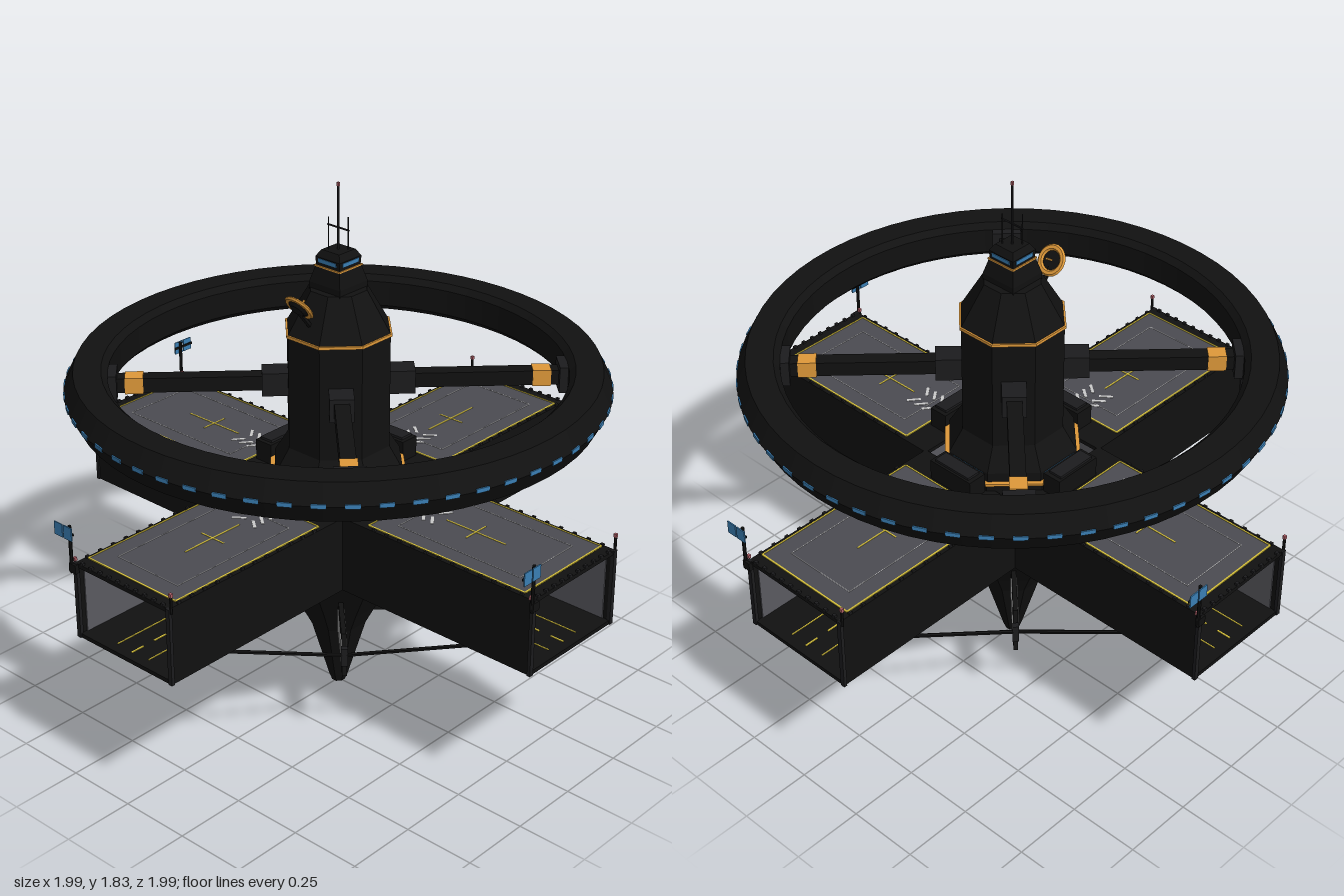
import * as THREE from 'three';

const mat = (color, extra = {}) => {
  const m = new THREE.MeshStandardMaterial({ color, ...extra });
  m.flatShading = true;
  return m;
};
const M = {
  hull: mat(0x111111), trim: mat(0x1c1c1e), deck: mat(0x4c4c52), wall: mat(0x5a5a60),
  yellow: mat(0xd8c23a), orange: mat(0xe09a3a), blue: mat(0x3a7fb5), white: mat(0xd8d8d8), red: mat(0xb06068),
};
const V = (x, y, z) => new THREE.Vector3(x, y, z);

function add(parent, name, geo, material, x = 0, y = 0, z = 0) {
  const mesh = new THREE.Mesh(geo, material);
  mesh.name = name;
  mesh.position.set(x, y, z);
  parent.add(mesh);
  return mesh;
}
const box = (p, name, m, w, h, d, x, y, z) => add(p, name, new THREE.BoxGeometry(w, h, d), m, x, y, z);

// Round bar between two points
function rod(p, name, m, a, b, r) {
  const mesh = add(p, name, new THREE.CylinderGeometry(r, r, a.distanceTo(b), 6), m);
  mesh.position.copy(a).lerp(b, 0.5);
  mesh.quaternion.setFromUnitVectors(V(0, 1, 0), b.clone().sub(a).normalize());
  return mesh;
}

// Faceted body: [distance to flat, y] from bottom to top, flats facing the axes
function facets(p, name, m, profile, sides) {
  const k = 1 / Math.cos(Math.PI / sides);
  const pts = profile.map(([r, y]) => new THREE.Vector2(r * k, y));
  return add(p, name, new THREE.LatheGeometry(pts, sides, Math.PI / sides), m);
}

// Groups turned to the four quarters
function quarters(parent, name, build, offset = 0) {
  for (let i = 0; i < 4; i++) {
    const g = new THREE.Group();
    g.name = name;
    g.rotation.y = offset + i * Math.PI / 2;
    build(g);
    parent.add(g);
  }
}

// Rectangle outline lying on a deck
function outline(p, name, m, x0, x1, hz, y, t) {
  for (const s of [-1, 1]) box(p, name, m, x1 - x0, 0.003, t, (x0 + x1) / 2, y, s * hz);
  for (const x of [x0, x1]) box(p, name, m, t, 0.003, hz * 2, x, y, 0);
}

// Hangar arm along +x with an open outer end
function buildArm(g) {
  const x0 = 0.2, x1 = 0.98, L = x1 - x0, xc = (x0 + x1) / 2;
  box(g, 'hangarRoof', M.hull, L, 0.014, 0.42, xc, 0.79, 0);
  box(g, 'hangarFloor', M.hull, L, 0.014, 0.42, xc, 0.537, 0);
  for (const s of [-1, 1]) {
    box(g, 'hangarSide', M.hull, L, 0.267, 0.008, xc, 0.6635, s * 0.206);
    box(g, 'hangarLiner', M.wall, L - 0.03, 0.24, 0.004, xc - 0.01, 0.664, s * 0.2);
    box(g, 'endFramePost', M.trim, 0.012, 0.267, 0.016, 0.978, 0.6635, s * 0.207);
    for (let i = 0; i < 12; i++) box(g, 'edgeLamp', M.trim, 0.012, 0.008, 0.008, 0.34 + i * 0.054, 0.801, s * 0.205);
    for (const z of [0.07]) box(g, 'floorLine', M.yellow, 0.55, 0.002, 0.004, 0.67, 0.545, s * z);
  }
  box(g, 'hangarBackWall', M.wall, 0.01, 0.24, 0.4, 0.24, 0.664, 0);
  for (let i = 0; i < 6; i++) box(g, 'floorDash', M.yellow, 0.05, 0.002, 0.006, 0.45 + i * 0.095, 0.545, 0);
  for (let i = 0; i < 10; i++) box(g, 'endLamp', M.trim, 0.01, 0.008, 0.012, 0.975, 0.801, -0.18 + i * 0.04);

  // Landing deck and markings
  box(g, 'landingDeck', M.deck, 0.63, 0.006, 0.39, 0.622, 0.798, 0);
  outline(g, 'deckBorder', M.yellow, 0.308, 0.937, 0.195, 0.801, 0.006);
  outline(g, 'deckInnerLine', M.white, 0.38, 0.87, 0.133, 0.8005, 0.002);
  box(g, 'deckCentreLine', M.yellow, 0.24, 0.003, 0.005, 0.59, 0.801, 0);
  box(g, 'deckCrossLine', M.yellow, 0.005, 0.003, 0.1, 0.59, 0.801, 0);
  for (let i = 0; i < 3; i++) for (const s of [-1, 1]) {
    const c = box(g, 'deckChevron', M.white, 0.048, 0.003, 0.01, 0.365 + i * 0.036, 0.801, s * 0.033);
    c.rotation.y = -s * 0.9;
  }

  // Housing between deck and tower
  box(g, 'deckHousing', M.hull, 0.07, 0.075, 0.18, 0.26, 0.832, 0);
  box(g, 'housingRoof', M.trim, 0.05, 0.012, 0.15, 0.262, 0.872, 0);

  // Solar panel mast on one corner, beacons on both
  rod(g, 'panelMast', M.hull, V(0.985, 0.76, 0.22), V(0.985, 0.925, 0.22), 0.006);
  box(g, 'mastBracket', M.hull, 0.015, 0.03, 0.03, 0.985, 0.78, 0.21);
  for (const s of [-1, 1]) box(g, 'solarPanel', M.blue, 0.004, 0.045, 0.037, 0.994, 0.902, 0.24 + s * 0.021);
  box(g, 'panelFrame', M.hull, 0.004, 0.008, 0.085, 0.99, 0.902, 0.24);
  rod(g, 'beaconPost', M.hull, V(0.975, 0.78, -0.215), V(0.975, 0.84, -0.215), 0.005);
  for (const s of [-1, 1]) box(g, 'beacon', M.red, 0.01, 0.012, 0.01, 0.975, s < 0 ? 0.845 : 0.806, s * 0.215);

  // Braces from the radiator tips to the underside
  for (const s of [-1, 1]) rod(g, 'armBrace', M.hull, V(0.295, 0.355, s * 0.295), V(0.89, 0.53, 0), 0.007);
}

// Diagonal spoke holding the ring
function buildSpoke(g) {
  box(g, 'spokeBeam', M.hull, 0.62, 0.05, 0.05, 0.46, 1.155, 0);
  box(g, 'spokeRoot', M.trim, 0.1, 0.08, 0.08, 0.2, 1.155, 0);
  box(g, 'spokeBand', M.orange, 0.06, 0.056, 0.056, 0.665, 1.155, 0);
  box(g, 'spokeMount', M.trim, 0.06, 0.09, 0.1, 0.75, 1.155, 0);
}

// Diagonal radiator fin on the keel
function buildFin(g) {
  const s = new THREE.Shape([[0.04, 0.28], [0.425, 0.28], [0.375, 0.41], [0.04, 0.41]].map(([x, y]) => new THREE.Vector2(x, y)));
  const geo = new THREE.ExtrudeGeometry(s, { depth: 0.016, bevelEnabled: false });
  add(g, 'radiatorFin', geo, M.hull, 0, 0, -0.008);
  for (let i = 0; i < 6; i++) box(g, 'radiatorSlat', M.white, 0.004, 0.085, 0.022, 0.185 + i * 0.037, 0.345, 0);
  box(g, 'finTip', M.trim, 0.022, 0.065, 0.022, 0.415, 0.35, 0);
}

export function createModel() {
  const model = new THREE.Group();
  model.name = 'station';

  // Central hull, tower and command cap
  facets(model, 'keel', M.hull, [[0, 0], [0.022, 0.002], [0.032, 0.03], [0.092, 0.25], [0.125, 0.32], [0.21, 0.48], [0.225, 0.53], [0, 0.53]], 8);
  facets(model, 'hub', M.hull, [[0, 0.53], [0.22, 0.53], [0.22, 0.815], [0, 0.815]], 8);
  facets(model, 'hubGoldBand', M.orange, [[0.215, 0.818], [0.225, 0.818], [0.225, 0.827], [0.2, 0.827]], 8);
  facets(model, 'tower', M.hull, [[0.21, 0.81], [0.21, 0.86], [0.165, 0.94], [0.165, 1.34], [0.09, 1.48], [0, 1.48]], 8);
  facets(model, 'towerGoldBand', M.orange, [[0.16, 1.332], [0.17, 1.332], [0.17, 1.342], [0.16, 1.342]], 8);
  facets(model, 'commandNeck', M.hull, [[0.066, 1.47], [0.066, 1.5], [0.05, 1.56], [0, 1.56]], 4);
  facets(model, 'capGoldBand', M.orange, [[0.05, 1.552], [0.055, 1.552], [0.055, 1.557], [0.045, 1.557]], 4);
  facets(model, 'commandCap', M.hull, [[0.05, 1.555], [0.052, 1.585], [0.038, 1.607], [0, 1.607]], 4);
  quarters(model, 'towerWindows', g => {
    box(g, 'capWindow', M.blue, 0.006, 0.014, 0.075, 0.051, 1.574, 0);
    box(g, 'hubWindow', M.blue, 0.006, 0.016, 0.14, 0.209, 0.846, 0);
  });

  // Antennas
  rod(model, 'mainMast', M.trim, V(0, 1.6, 0), V(0, 1.82, 0), 0.004);
  box(model, 'mastLamp', M.red, 0.008, 0.012, 0.008, 0, 1.824, 0);
  rod(model, 'mastCrossbar', M.trim, V(-0.046, 1.68, 0), V(0.046, 1.68, 0), 0.003);
  for (const s of [-1, 1]) rod(model, 'sideAntenna', M.trim, V(s * 0.024, 1.6, -s * 0.02), V(s * 0.024, 1.715, -s * 0.02), 0.002);

  // Tilted dish on the front of the tower
  const dish = new THREE.Group();
  dish.name = 'dish';
  dish.position.set(0, 1.462, 0.183);
  dish.rotation.x = -Math.PI / 2 - 0.95;
  const rim = add(dish, 'dishRim', new THREE.TorusGeometry(0.043, 0.011, 6, 20), M.orange);
  rim.scale.z = 0.6;
  add(dish, 'dishBack', new THREE.CylinderGeometry(0.04, 0.025, 0.012, 16), M.hull, 0, 0, -0.008).rotation.x = Math.PI / 2;
  rod(dish, 'dishFeed', M.orange, V(0, 0, 0), V(0, 0, 0.03), 0.004);
  model.add(dish);
  rod(model, 'dishArm', M.hull, V(0, 1.38, 0.13), V(0, 1.44, 0.178), 0.009);

  // Habitat ring with windows
  const ring = [[0.75, 1.11], [0.77, 1.09], [0.86, 1.09], [0.893, 1.155], [0.86, 1.22], [0.77, 1.22], [0.75, 1.2], [0.75, 1.11]];
  add(model, 'habitatRing', new THREE.LatheGeometry(ring.map(([r, y]) => new THREE.Vector2(r, y)), 64), M.hull);
  for (let i = 0; i < 56; i++) {
    const a = i / 56 * Math.PI * 2;
    box(model, 'ringWindow', M.blue, 0.045, 0.014, 0.008, Math.sin(a) * 0.889, 1.155, Math.cos(a) * 0.889).rotation.y = a;
  }

  quarters(model, 'hangarArm', buildArm);
  quarters(model, 'ringSpoke', buildSpoke, Math.PI / 4);
  quarters(model, 'keelFin', buildFin, Math.PI / 4);
  return model;
}
